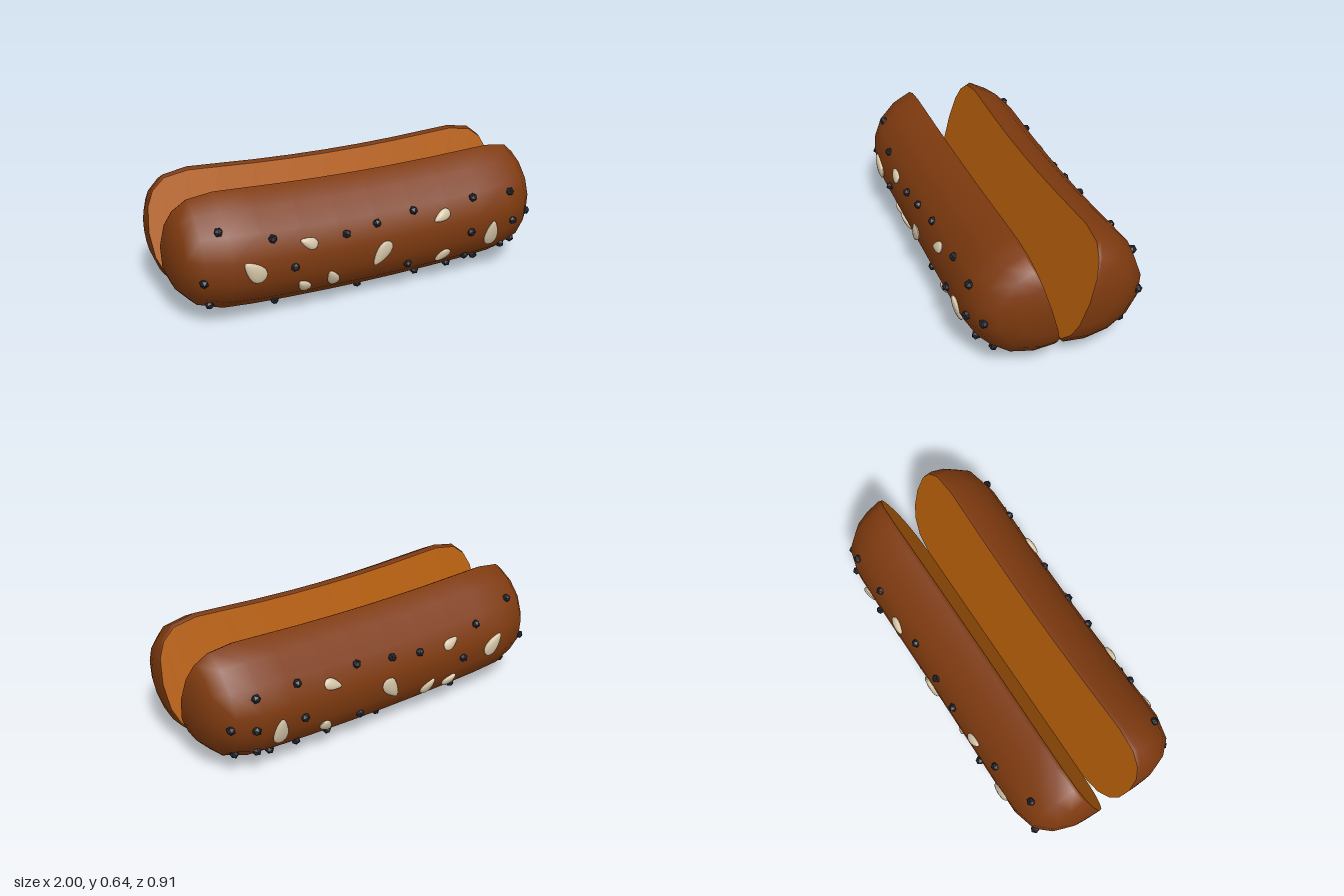
import * as THREE from 'three';
import { mergeVertices } from 'three/addons/utils/BufferGeometryUtils.js';

const mat = (name, color) => Object.assign(new THREE.MeshStandardMaterial({ color }), { name });

// Half-length rings as [x, section scale]
const RINGS = [[0, 1], [0.2, 1], [0.4, 1], [0.6, 1], [0.76, 0.99], [0.885, 0.89], [0.95, 0.69], [0.985, 0.43], [1, 0]];
const TILT = 0.294, HINGE_Y = 0.073, RU = 0.315, RV = 0.36;

function scaleAt(x) {
  const a = Math.abs(x);
  for (let i = 1; i < RINGS.length; i++) {
    const [x0, s0] = RINGS[i - 1], [x1, s1] = RINGS[i];
    if (a <= x1) return s0 + (s1 - s0) * (a - x0) / (x1 - x0);
  }
  return 0;
}

// Section point (u up the cut face, v outward) placed on the tilted, upward-bent front half
function place(x, u, v) {
  const s = scaleAt(x), U = 0.26 + 0.05 * x * x + u * s, V = v * s;
  const c = Math.cos(TILT), n = Math.sin(TILT);
  return new THREE.Vector3(x, HINGE_Y + U * c - V * n, U * n + V * c);
}
const crustPoint = (x, t) => place(x, -RU * Math.cos(t), RV * Math.sin(t));

// Skin a section along the length; side -1 mirrors it to the back
function skin(section, side, flip) {
  const xs = [...RINGS.slice(1).reverse().map(r => -r[0]), ...RINGS.map(r => r[0])];
  const pos = [], idx = [], n = section.length;
  xs.forEach(x => section.forEach(([u, v]) => {
    const p = place(x, u, v);
    pos.push(p.x, p.y, p.z * side);
  }));
  for (let i = 0; i < xs.length - 1; i++) for (let j = 0; j < n - 1; j++) {
    const a = i * n + j, b = a + n;
    for (const [p, q, r] of [[a, b, b + 1], [a, b + 1, a + 1]])
      idx.push(...((side < 0) !== flip ? [p, r, q] : [p, q, r]));
  }
  let g = new THREE.BufferGeometry();
  g.setAttribute('position', new THREE.Float32BufferAttribute(pos, 3));
  g.setIndex(idx);
  g = mergeVertices(g, 1e-5);
  g.computeVertexNormals();
  return g;
}

// Surface position and orientation for a topping seen at (x, y)
function anchor(x, y) {
  let lo = 0.35, hi = 2.8;
  for (let i = 0; i < 30; i++) {
    const m = (lo + hi) / 2;
    if (crustPoint(x, m).y < y) lo = m; else hi = m;
  }
  const e = 0.01, p = crustPoint(x, lo);
  const dx = crustPoint(x + e, lo).sub(crustPoint(x - e, lo));
  const dt = crustPoint(x, lo + e).sub(crustPoint(x, lo - e));
  const normal = dx.cross(dt).normalize();
  return { p, q: new THREE.Quaternion().setFromUnitVectors(new THREE.Vector3(0, 0, 1), normal) };
}

export function createModel() {
  const model = new THREE.Group();
  const crust = mat('crust', 0x7e3a0f), crumb = mat('crumb', 0xb55e0b);
  crumb.side = THREE.DoubleSide;
  const dark = mat('darkSeed', 0x23252e), pale = mat('paleFlake', 0xd6c6a8);

  // Crust section with a small bevel at both rims
  const arc = [[-0.297, 0], [-RU, 0.018]];
  for (let i = 1; i < 8; i++) {
    const t = i * Math.PI / 8;
    arc.push([-RU * Math.cos(t), RV * Math.sin(t)]);
  }
  arc.push([RU, 0.018], [0.297, 0]);

  const seedGeo = new THREE.IcosahedronGeometry(0.023, 0);

  // Flattened teardrop flake, narrow towards +y
  const flakeGeo = new THREE.SphereGeometry(1, 12, 8);
  const fp = flakeGeo.attributes.position;
  for (let i = 0; i < fp.count; i++) {
    const y = fp.getY(i);
    fp.setX(i, fp.getX(i) * (0.9 - 0.4 * y));
  }
  flakeGeo.computeVertexNormals();

  const seeds = [
    [-0.8, 0.51], [-0.55, 0.445], [-0.17, 0.4], [0, 0.42], [0.21, 0.445], [0.555, 0.455], [0.78, 0.45],
    [-0.89, 0.28], [-0.45, 0.29], [0.535, 0.28], [0.795, 0.295], [0.905, 0.315], [-0.84, 0.12],
    [-0.5, 0.06], [-0.025, 0.03], [0.185, 0.16], [0.3, 0.045], [0.49, 0.055], [0.545, 0.12],
    [0.65, 0.07], [0.765, 0.145], [0.86, 0.14]];

  // x, y, half width, half length, in-plane turn
  const flakes = [
    [-0.655, 0.31, 0.045, 0.07, 0.75], [-0.37, 0.395, 0.03, 0.047, 1.15], [-0.39, 0.165, 0.031, 0.046, 0.7],
    [-0.24, 0.18, 0.032, 0.055, 0.45], [0.02, 0.265, 0.042, 0.072, 2.55], [0.365, 0.395, 0.031, 0.05, 2.0],
    [0.39, 0.165, 0.031, 0.048, 2.4], [0.665, 0.25, 0.042, 0.075, 0]];

  for (const side of [1, -1]) {
    const half = new THREE.Group();
    half.name = side > 0 ? 'frontHalf' : 'backHalf';
    model.add(half);

    const add = (name, geo, material) => {
      const m = new THREE.Mesh(geo, material);
      m.name = name;
      half.add(m);
      return m;
    };
    const put = (mesh, x, y, turn) => {
      const { p, q } = anchor(x, y);
      q.multiply(new THREE.Quaternion().setFromAxisAngle(new THREE.Vector3(0, 0, 1), turn));
      mesh.position.set(p.x, p.y, p.z * side);
      mesh.quaternion.set(q.x * side, q.y * side, q.z, q.w);
    };

    add('crust', skin(arc, side, false), crust);
    add('cutFace', skin([[-0.297, 0], [0.297, 0]], side, true), crumb);
    seeds.forEach(([x, y], i) => put(add('seed', seedGeo, dark), x, y, i * 0.7));
    flakes.forEach(([x, y, w, l, turn]) => {
      const m = add('flake', flakeGeo, pale);
      m.scale.set(w, l, 0.016);
      put(m, x, y, turn);
    });
  }
  return model;
}
